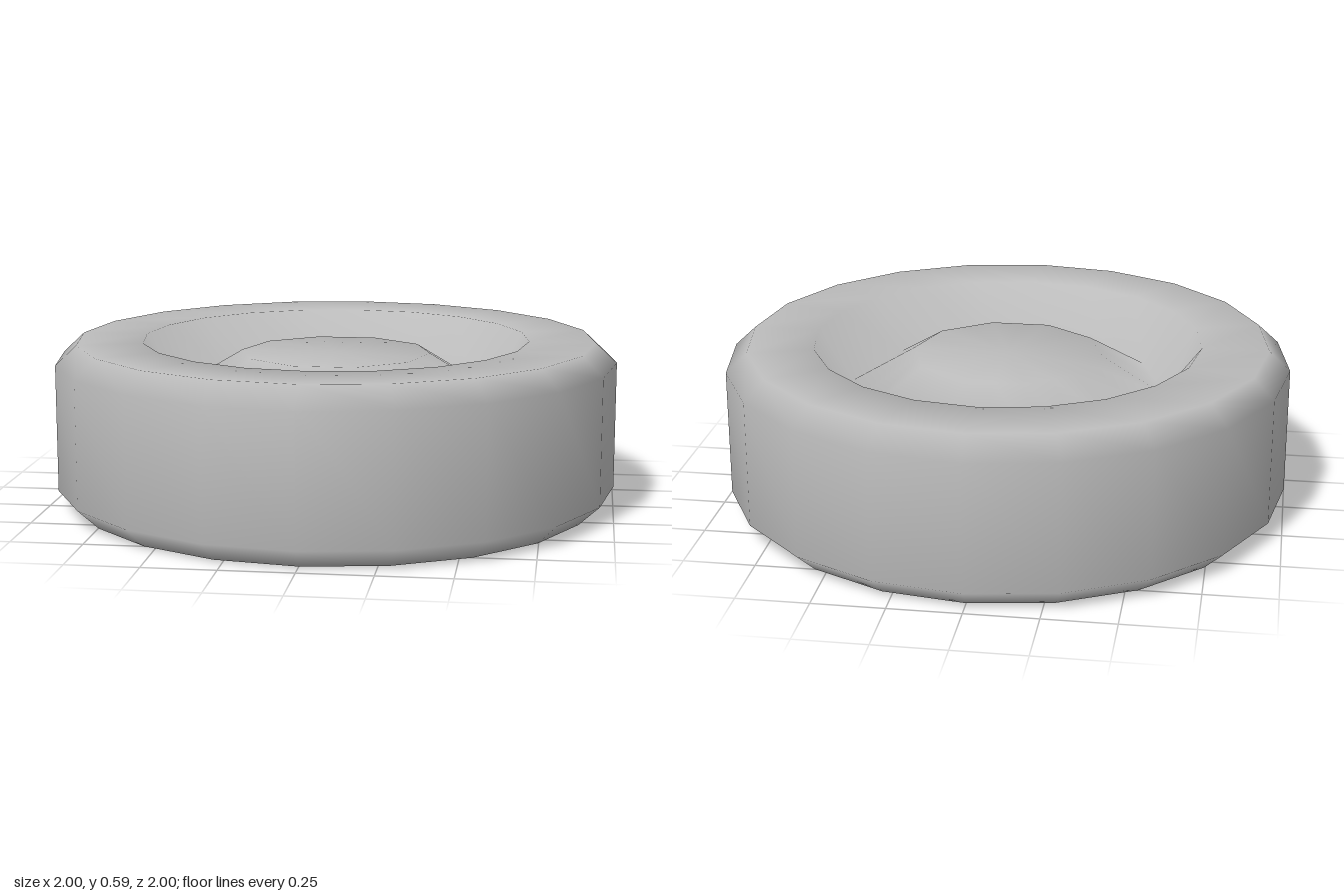
import * as THREE from 'three';
import { mergeVertices } from 'three/addons/utils/BufferGeometryUtils.js';

const SIDES = 20;
const HEIGHT = 0.59;

// Upper half of the wheel profile, from hub centre to tread: [radius, height, has ten corners]
const upper = [
  [0, 0.54, true],       // hub centre
  [0.34, 0.54, true],    // hub edge
  [0.566, 0.405, true],  // groove between hub and tyre
  [0.69, HEIGHT, false], // inner rim of sidewall
  [0.925, HEIGHT, false],// outer rim of sidewall
  [1, 0.52, false],      // tread shoulder
];

// Mirrored about mid height, so both sidewalls match
const profile = [...upper, ...upper.map(([r, y, ten]) => [r, HEIGHT - y, ten]).reverse()];

function wheelGeometry() {
  const positions = [];
  const indices = [];
  for (const [radius, y, ten] of profile) {
    for (let j = 0; j < SIDES; j++) {
      const a = (j / SIDES) * Math.PI * 2;
      // On ten-cornered rings every other point lies in the middle of an edge
      const r = ten && j % 2 ? radius * Math.cos(Math.PI / 10) : radius;
      positions.push(r * Math.cos(a), y, r * Math.sin(a));
    }
  }
  for (let i = 0; i < profile.length - 1; i++) {
    for (let j = 0; j < SIDES; j++) {
      const k = (j + 1) % SIDES;
      const a = i * SIDES + j, b = a + SIDES;
      const c = i * SIDES + k, d = c + SIDES;
      if (profile[i][0] > 0) indices.push(a, c, b);
      if (profile[i + 1][0] > 0) indices.push(c, d, b);
    }
  }
  const geometry = new THREE.BufferGeometry();
  geometry.setAttribute('position', new THREE.Float32BufferAttribute(positions, 3));
  geometry.setIndex(indices);
  const merged = mergeVertices(geometry, 1e-5);
  merged.computeVertexNormals();
  return merged;
}

export function createModel() {
  const grey = new THREE.MeshStandardMaterial({ color: 0xbbbbbb });
  grey.name = 'grey';

  const group = new THREE.Group();
  group.name = 'wheel';
  const tyre = new THREE.Mesh(wheelGeometry(), grey);
  tyre.name = 'tyreAndHub';
  group.add(tyre);
  return group;
}
